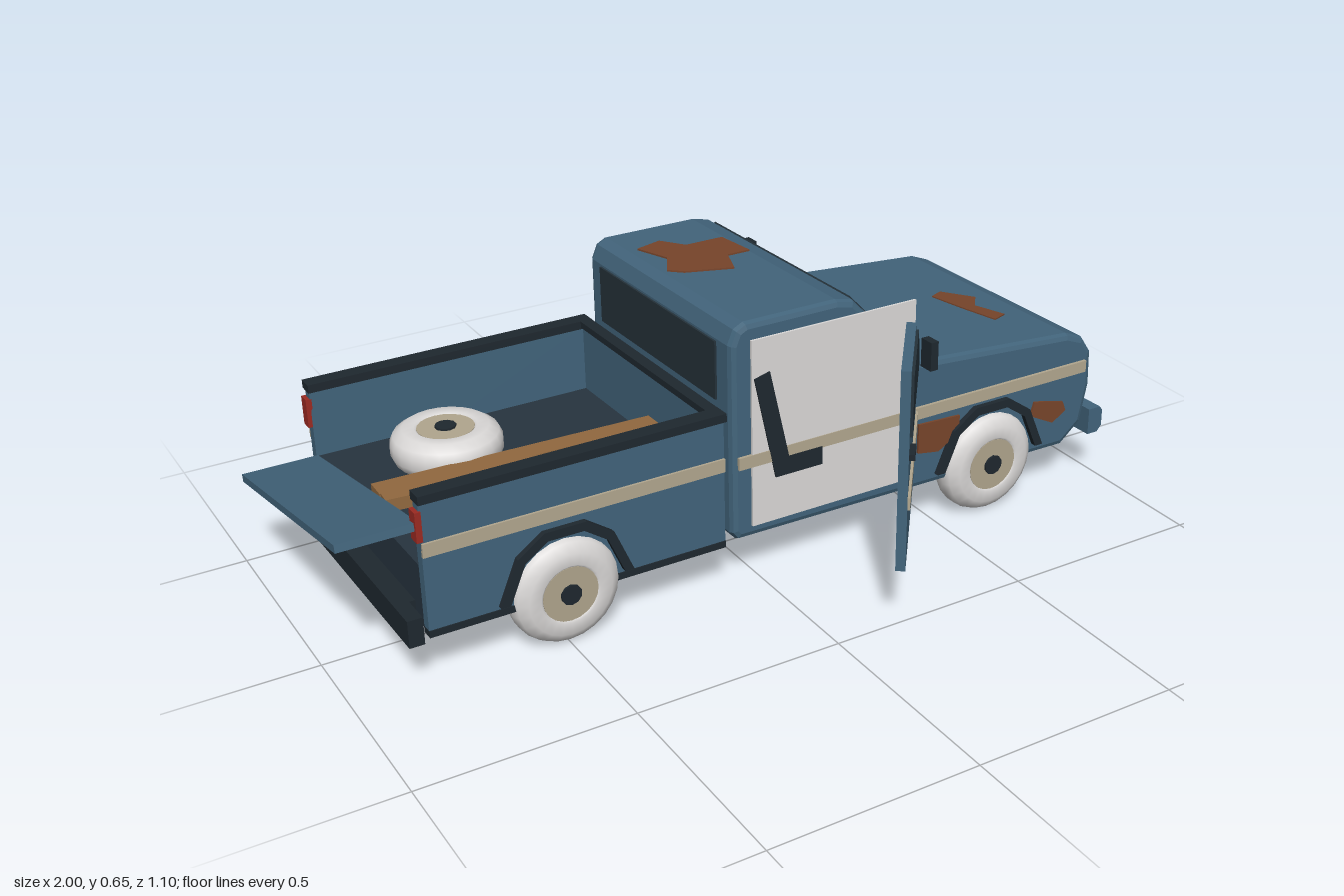
import * as THREE from 'three';

const mat = (name, color, side = THREE.FrontSide) => {
  const m = new THREE.MeshStandardMaterial({ color, side });
  m.name = name;
  return m;
};

export function createModel() {
  const blue = mat('bodyBlue', 0x42647b);
  const trim = mat('darkTrim', 0x1f282f);
  const glass = mat('darkGlass', 0x25323a);
  const navy = mat('bedNavy', 0x27343f);
  const tan = mat('tan', 0xb2a78f);
  const rust = mat('rust', 0x78452b);
  const wood = mat('wood', 0x92693f);
  const pale = mat('paleGrey', 0xdbd9d8);
  const red = mat('lampRed', 0x9c2a22);

  const model = new THREE.Group();
  model.name = 'pickupTruck';

  // The body leans slightly to one side on its wheels
  const body = new THREE.Group();
  body.name = 'body';
  body.position.z = -0.14;
  body.rotation.x = -0.03;
  model.add(body);

  const add = (parent, name, geo, material, x = 0, y = 0, z = 0) => {
    const m = new THREE.Mesh(geo, material);
    m.name = name;
    m.position.set(x, y, z);
    parent.add(m);
    return m;
  };
  const box = (parent, name, material, w, h, d, x, y, z) =>
    add(parent, name, new THREE.BoxGeometry(w, h, d), material, x, y, z);
  const shapeOf = (pts) => new THREE.Shape(pts.map(([x, y]) => new THREE.Vector2(x, y)));
  const plate = (parent, name, material, pts, depth, z) =>
    add(parent, name, new THREE.ExtrudeGeometry(shapeOf(pts), { depth, bevelEnabled: false }), material, 0, 0, z);
  // Thin plate on a flank: side is 1 for +z, -1 for -z
  const flank = (name, material, pts, side, depth = 0.006) =>
    plate(body, name, material, pts, depth, side > 0 ? HALF : -HALF - depth);
  const HALF = 0.33;

  // Cab and bonnet: one bevelled side profile
  const profile = [[-0.08, 0.13], [-0.065, 0.11], [0.88, 0.1], [0.94, 0.15], [0.96, 0.25], [0.957, 0.34],
    [0.93, 0.38], [0.88, 0.4], [0.44, 0.433], [0.415, 0.45], [0.245, 0.628], [0.2, 0.638],
    [-0.04, 0.638], [-0.065, 0.625], [-0.08, 0.59]];
  const cabGeo = new THREE.ExtrudeGeometry(shapeOf(profile), {
    depth: 2 * HALF - 0.03, bevelThickness: 0.015, bevelSize: 0.015, bevelOffset: -0.015, bevelSegments: 2,
  });
  add(body, 'cab', cabGeo, blue, 0, 0, -HALF + 0.015);

  // Windows of the cab
  const slope = Math.atan2(0.45 - 0.628, 0.415 - 0.245);
  box(body, 'windscreen', glass, 0.232, 0.008, 0.59, 0.331, 0.54, 0).rotation.z = slope;
  box(body, 'rearWindow', glass, 0.008, 0.14, 0.54, -0.081, 0.515, 0);
  box(body, 'cowl', trim, 0.02, 0.01, 0.6, 0.43, 0.443, 0);
  flank('sideWindow', glass, [[0, 0.455], [0.385, 0.455], [0.375, 0.475], [0.255, 0.6], [0, 0.6]], -1);
  box(body, 'doorHandle', trim, 0.045, 0.015, 0.012, 0.03, 0.42, -HALF - 0.004);

  // Door opening with the seat inside
  flank('doorOpening', pale, [[-0.03, 0.14], [0.41, 0.14], [0.41, 0.597], [-0.03, 0.597]], 1);
  flank('seat', trim, [[0.03, 0.25], [0.155, 0.25], [0.155, 0.295], [0.065, 0.295], [0.015, 0.515], [-0.025, 0.505]], 1, 0.0095);

  // Open door, hinged at its front edge
  const door = new THREE.Group();
  door.name = 'openDoor';
  door.position.set(0.415, 0, 0.34);
  door.rotation.y = 0.9;
  body.add(door);
  plate(door, 'doorPanel', blue, [[0, 0.137], [0, 0.445], [-0.17, 0.612], [-0.434, 0.612], [-0.434, 0.137]], 0.022, -0.022);
  plate(door, 'doorWindow', glass, [[-0.04, 0.452], [-0.04, 0.472], [-0.172, 0.596], [-0.415, 0.596], [-0.415, 0.452]], 0.006, 0);
  box(door, 'doorStripe', tan, 0.434, 0.03, 0.006, -0.217, 0.302, 0.003);
  box(door, 'openDoorHandle', trim, 0.055, 0.014, 0.014, -0.39, 0.405, 0.006);

  // Front end
  box(body, 'grille', trim, 0.02, 0.1, 0.36, 0.954, 0.28, 0);
  const bumperGeo = new THREE.ExtrudeGeometry(
    shapeOf([[0.955, 0.115], [0.985, 0.115], [0.998, 0.13], [0.998, 0.172], [0.99, 0.183], [0.955, 0.183]]),
    { depth: 0.68, bevelEnabled: false });
  add(body, 'frontBumper', bumperGeo, blue, 0, 0, -0.34);
  box(body, 'frontBumperMount', trim, 0.05, 0.04, 0.5, 0.94, 0.14, 0);

  // Load bed
  const bedX = -0.46, bedL = 0.72;
  box(body, 'bedFloor', navy, bedL - 0.01, 0.15, 2 * HALF - 0.04, bedX, 0.185, 0);
  box(body, 'bedFrontWall', blue, 0.02, 0.32, 2 * HALF - 0.04, -0.11, 0.27, 0);
  box(body, 'bedFrontRail', trim, 0.03, 0.016, 2 * HALF, -0.113, 0.434, 0);
  box(body, 'rearBumper', trim, 0.035, 0.065, 0.68, -0.852, 0.133, 0);
  box(body, 'rearBumperMount', trim, 0.03, 0.04, 0.5, -0.825, 0.135, 0);

  // Tailgate, hanging crooked
  box(body, 'tailgate', blue, 0.18, 0.018, 0.63, -0.91, 0.315, 0.018).rotation.x = -0.178;

  // Parts repeated on both flanks
  for (const s of [1, -1]) {
    box(body, 'bedSide', blue, bedL, 0.32, 0.025, bedX, 0.275, s * (HALF - 0.0125));
    box(body, 'bedSill', trim, bedL, 0.016, 0.03, bedX, 0.114, s * (HALF - 0.012));
    box(body, 'bedRail', trim, bedL + 0.005, 0.02, 0.04, bedX, 0.432, s * (HALF - 0.01));
    box(body, 'bedStripe', tan, bedL, 0.032, 0.008, bedX, 0.314, s * (HALF + 0.002));
    box(body, 'cabStripe', tan, 1.0, 0.03, 0.016, 0.435, 0.306, s * HALF);
    box(body, 'tailLamp', red, 0.014, 0.07, 0.03, -0.823, 0.37, s * (HALF - 0.01));
    box(body, 'headlight', pale, 0.016, 0.046, 0.094, 0.955, 0.273, s * 0.227);
    box(body, 'mirror', trim, 0.02, 0.07, 0.038, 0.412, 0.482, s * 0.39);
    for (const x of [-0.5, 0.645]) {
      // Angular wheel-arch flare
      const outer = [[-0.16, 0.13], [-0.115, 0.235], [-0.05, 0.28], [0.05, 0.28], [0.115, 0.235], [0.16, 0.13]];
      const inner = outer.map(([u, v]) => [u * 0.86, 0.13 + (v - 0.13) * 0.86]).reverse();
      flank('wheelArch', trim, [...outer, ...inner].map(([u, v]) => [u + x, v]), s, 0.014);
    }
  }

  // Rust patches
  flank('rustFender', rust, [[0.43, 0.2], [0.49, 0.19], [0.55, 0.225], [0.55, 0.27], [0.43, 0.275]], 1);
  flank('rustNose', rust, [[0.77, 0.21], [0.84, 0.175], [0.88, 0.2], [0.87, 0.225], [0.81, 0.24], [0.78, 0.245]], 1);
  flank('rustSill', rust, [[0.02, 0.15], [0.08, 0.14], [0.1, 0.12], [0.17, 0.15], [0.21, 0.21], [0.13, 0.2], [0.09, 0.24], [0.06, 0.19]], -1);
  flank('rustBedFront', rust, [[-0.41, 0.24], [-0.33, 0.21], [-0.27, 0.23], [-0.29, 0.28], [-0.4, 0.29]], -1);
  flank('rustBedRear', rust, [[-0.78, 0.22], [-0.72, 0.23], [-0.66, 0.2], [-0.66, 0.25], [-0.71, 0.27], [-0.78, 0.26]], -1);
  // Flat patches drawn in x and z, laid on a surface
  const laid = (name, pts, x, y, z, tilt) => {
    const g = new THREE.ExtrudeGeometry(shapeOf(pts.map(([u, v]) => [u - x, -(v - z)])), { depth: 0.006, bevelEnabled: false });
    g.rotateX(-Math.PI / 2);
    add(body, name, g, rust, x, y, z + 0.155).rotation.z = tilt;
  };
  laid('rustRoof', [[-0.02, -0.35], [0.05, -0.37], [0.09, -0.31], [0.19, -0.31], [0.2, -0.2], [0.14, -0.2],
    [0.11, -0.12], [0, -0.16], [-0.03, -0.19], [0.01, -0.26]], 0.08, 0.636, -0.24, 0);
  laid('rustBonnet', [[0.73, -0.18], [0.77, -0.2], [0.83, -0.13], [0.79, -0.08], [0.82, 0], [0.775, 0.02], [0.75, -0.08]],
    0.78, 0.4045, -0.09, -0.075);

  // Wheels: pale tyre, tan rim, dark hub, built around the y axis
  const tyreGeo = new THREE.LatheGeometry([[0.066, -0.04], [0.072, -0.045], [0.1, -0.045], [0.122, -0.03], [0.13, -0.012], [0.13, 0.012],
    [0.122, 0.03], [0.1, 0.045], [0.072, 0.045], [0.066, 0.04]].map(([r, h]) => new THREE.Vector2(r, h)), 24);
  const rimGeo = new THREE.CylinderGeometry(0.067, 0.067, 0.084, 20);
  const hubGeo = new THREE.CylinderGeometry(0.025, 0.025, 0.094, 10);
  const wheel = (parent, name, x, y, z) => {
    const g = new THREE.Group();
    g.name = name;
    g.position.set(x, y, z);
    add(g, 'tyre', tyreGeo, pale);
    add(g, 'rim', rimGeo, tan);
    add(g, 'hub', hubGeo, trim);
    parent.add(g);
    return g;
  };
  for (const x of [-0.5, 0.645]) {
    for (const z of [0.165, -0.445]) wheel(model, 'wheel', x, 0.13, z).rotation.x = Math.PI / 2;
  }

  // Cargo: spare wheel and planks
  wheel(body, 'spareWheel', -0.57, 0.305, -0.12);
  for (const [x, z, len, turn] of [[-0.455, 0.035, 0.69, -0.035], [-0.455, 0.09, 0.69, -0.09], [-0.44, 0.185, 0.66, 0.015]]) {
    box(body, 'plank', wood, len, 0.03, 0.055, x, 0.3, z).rotation.y = turn;
  }
  return model;
}
